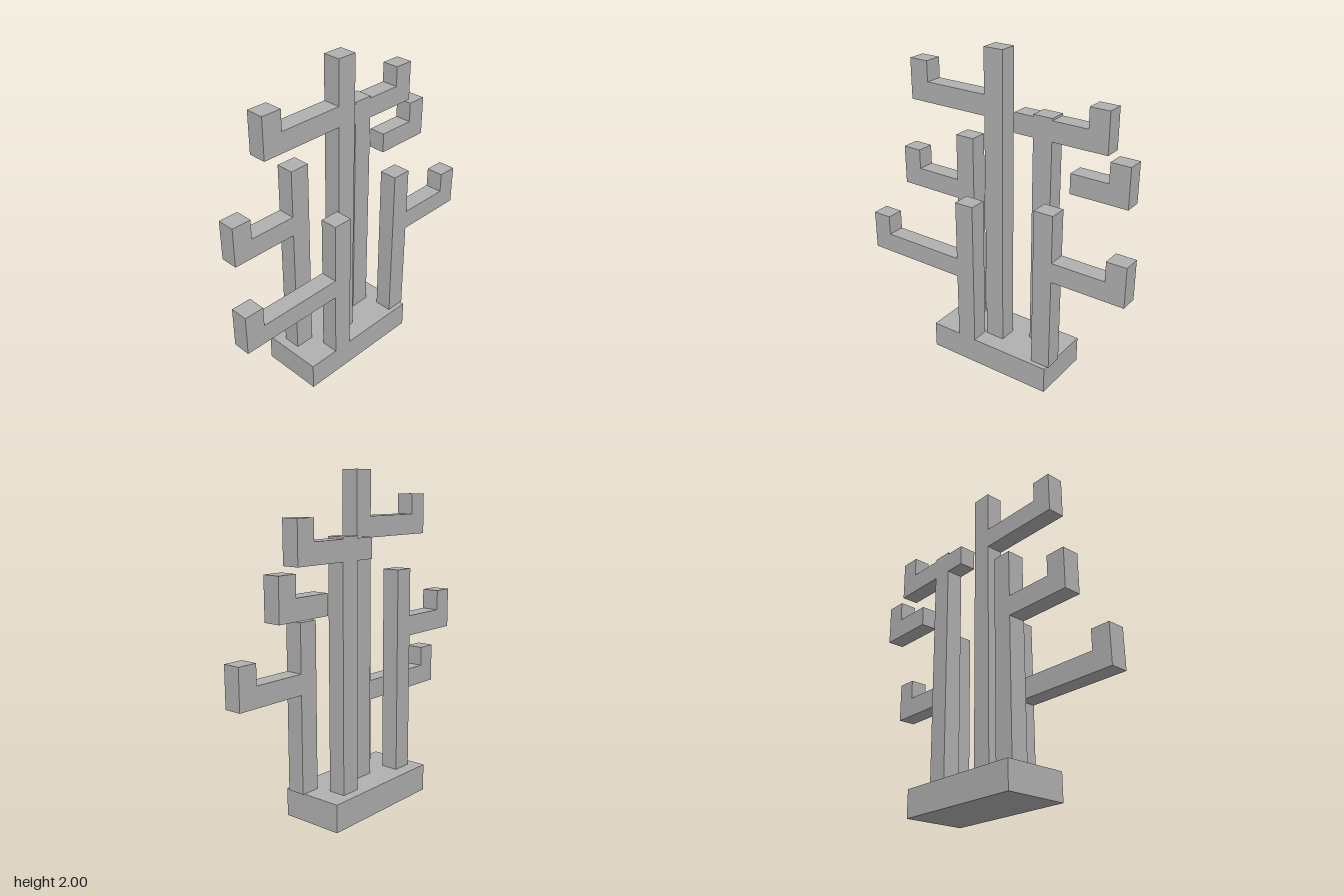
import * as THREE from 'three';

export function createModel() {
  const model = new THREE.Group();
  model.name = 'branchedStand';
  const grey = new THREE.MeshStandardMaterial({ color: 0xb0b0b0 });
  grey.name = 'plain grey';

  // Box given by its limits on each axis
  const addBox = (parent, name, [x0, x1], [y0, y1], [z0, z1]) => {
    const mesh = new THREE.Mesh(new THREE.BoxGeometry(x1 - x0, y1 - y0, z1 - z0), grey);
    mesh.position.set((x0 + x1) / 2, (y0 + y1) / 2, (z0 + z1) / 2);
    mesh.name = name;
    parent.add(mesh);
  };

  // L-shaped arm from its root to its tip, with the end turned up
  const T = 0.123;
  const addArm = (parent, name, root, tip, y, [z0, z1]) => {
    const inner = tip - Math.sign(tip) * T;
    const shape = new THREE.Shape([
      [root, y], [tip, y], [tip, y + 2 * T], [inner, y + 2 * T], [inner, y + T], [root, y + T],
    ].map(([px, py]) => new THREE.Vector2(px, py)));
    const geometry = new THREE.ExtrudeGeometry(shape, { depth: z1 - z0, bevelEnabled: false });
    const mesh = new THREE.Mesh(geometry, grey);
    mesh.position.z = z0;
    mesh.name = name;
    parent.add(mesh);
  };

  const baseTop = 0.167;
  addBox(model, 'base', [-0.417, 0.415], [0, baseTop], [-0.195, 0.192]);

  // Upright posts, each with one arm
  const branches = [
    { name: 'tall', x: [-0.085, 0.038], top: 2.0, z: [-0.026, 0.083], root: -0.085, tip: -0.612, y: 1.612 },
    { name: 'rightRear', x: [-0.36, -0.237], top: 1.416, z: [-0.113, -0.004], root: -0.36, tip: -0.779, y: 1.003 },
    { name: 'rightFront', x: [-0.223, -0.1], top: 1.085, z: [0.083, 0.192], root: -0.223, tip: -0.889, y: 0.588 },
    { name: 'leftRear', x: [0.165, 0.288], top: 1.64, z: [-0.136, -0.03], root: 0.04, tip: 0.635, y: 1.504 },
    { name: 'leftFront', x: [0.304, 0.427], top: 1.17, z: [0.054, 0.164], root: 0.427, tip: 0.885, y: 0.757 },
  ];
  for (const b of branches) {
    const branch = new THREE.Group();
    branch.name = b.name + 'Branch';
    addBox(branch, b.name + 'Post', b.x, [baseTop, b.top], b.z);
    addArm(branch, b.name + 'Arm', b.root, b.tip, b.y, b.z);
    model.add(branch);
  }

  // Detached arm beside the left rear post
  addArm(model, 'detachedArm', 0.412, 0.774, 1.227, [-0.136, -0.03]);

  return model;
}
